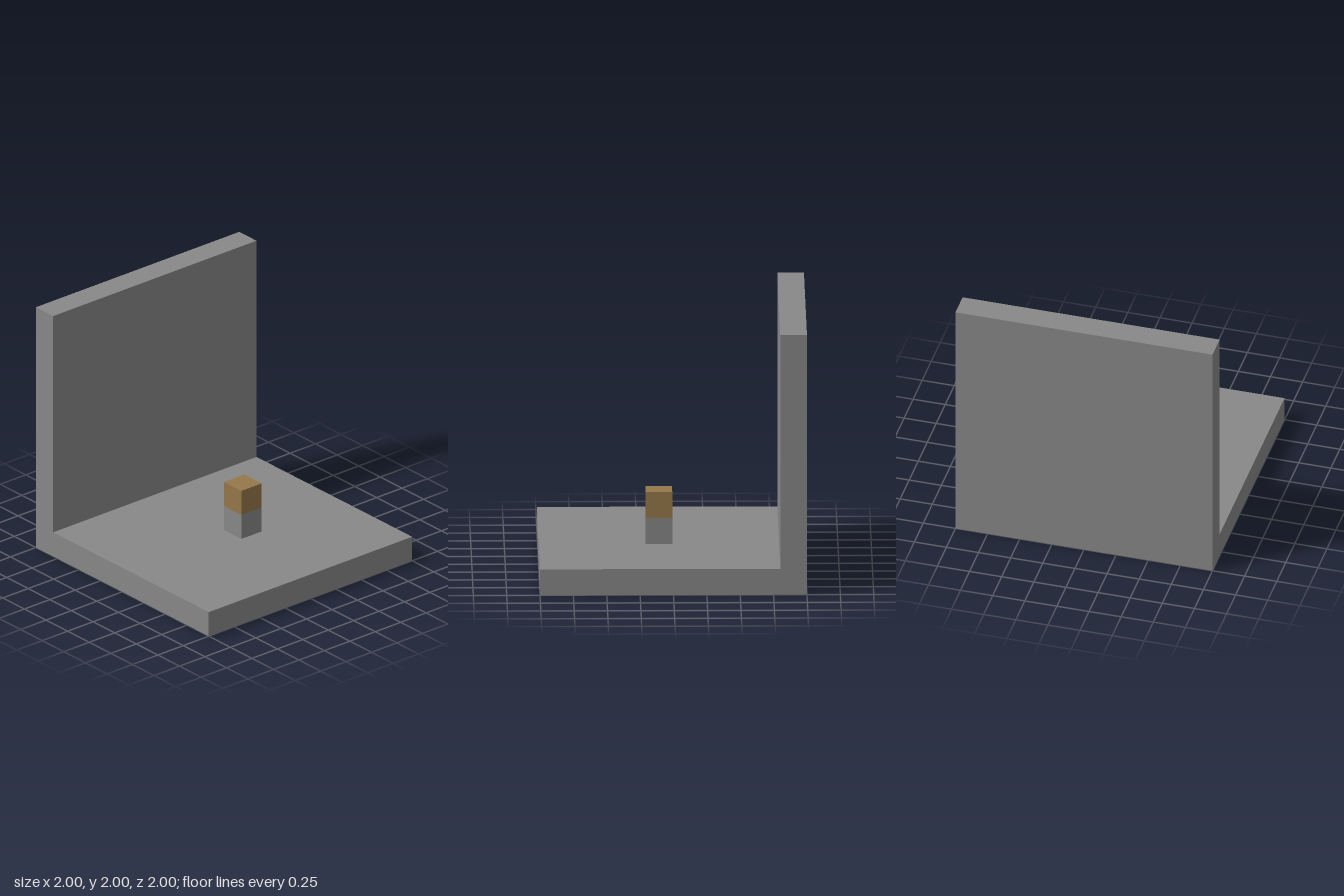
import * as THREE from 'three';

export function createModel() {
  const model = new THREE.Group();
  model.name = 'cornerRoom';

  const grey = new THREE.MeshStandardMaterial({ color: 0x888888 });
  grey.name = 'stone grey';
  const brown = new THREE.MeshStandardMaterial({ color: 0x96784a });
  brown.name = 'wood brown';

  const add = (name, geometry, material, x, y, z) => {
    const mesh = new THREE.Mesh(geometry, material);
    mesh.name = name;
    mesh.position.set(x, y, z);
    model.add(mesh);
  };

  // Floor and back wall: one L-shaped side profile (z, y) extruded across x
  const profile = new THREE.Shape(
    [[-1, 0], [1, 0], [1, 0.2], [-0.8, 0.2], [-0.8, 2], [-1, 2]].map(([z, y]) => new THREE.Vector2(z, y))
  );
  const shell = new THREE.ExtrudeGeometry(profile, { depth: 2, bevelEnabled: false });
  shell.rotateY(-Math.PI / 2);
  add('floorAndBackWall', shell, grey, 1, 0, 0);

  // Small post: grey lower block with a brown block on top
  const block = new THREE.BoxGeometry(0.2, 0.2, 0.2);
  add('postBase', block, grey, 0.1, 0.3, 0.1);
  add('postTop', block, brown, 0.1, 0.5, 0.1);

  return model;
}
